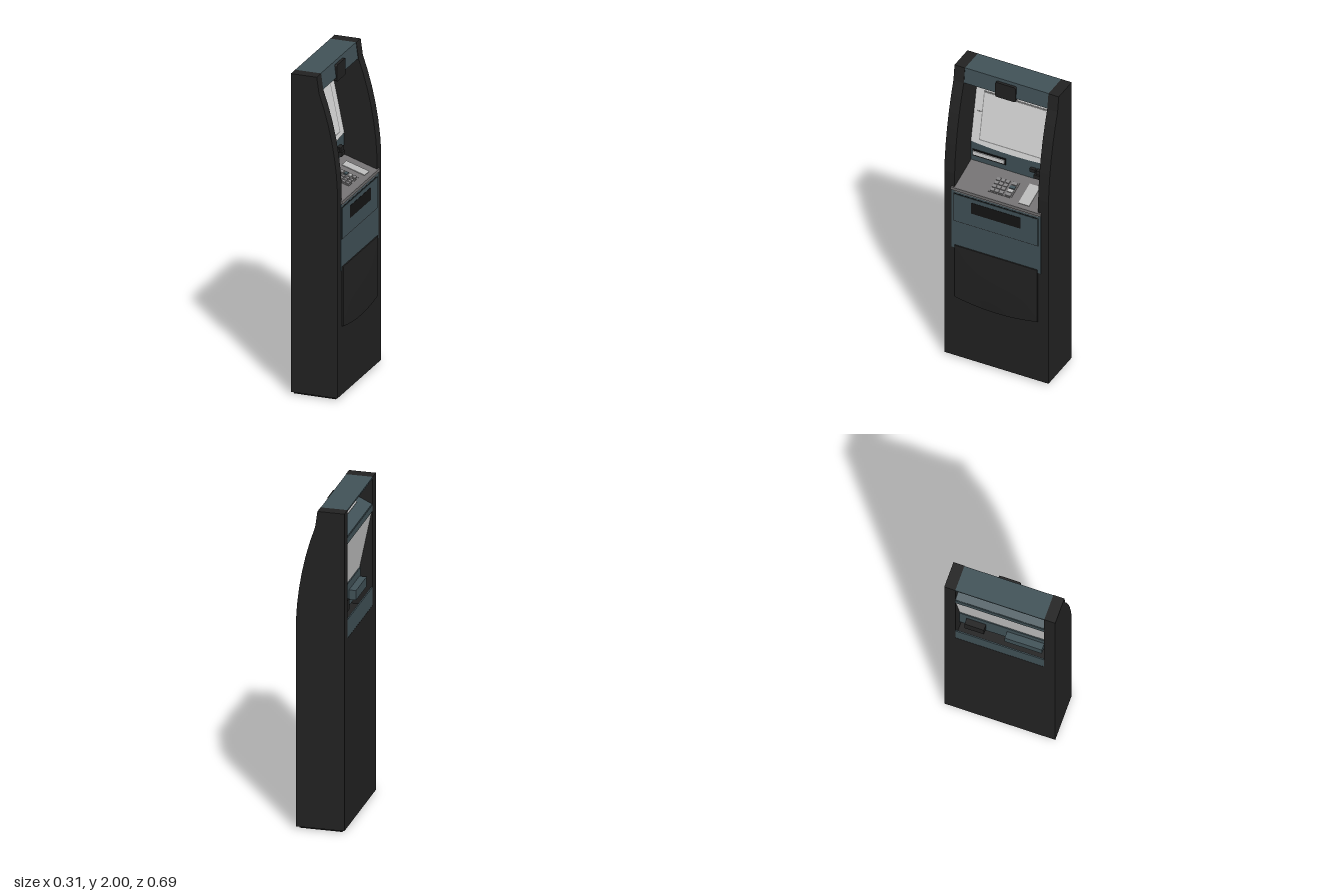
import * as THREE from 'three';

const mat = (name, color) => {
  const m = new THREE.MeshStandardMaterial({ color });
  m.name = name;
  return m;
};

export function createModel() {
  const black = mat('black casing', 0x232323);
  const darkest = mat('dark slot', 0x151515);
  const teal = mat('slate teal', 0x425359);
  const grey = mat('shelf grey', 0x747273);
  const keyGrey = mat('key grey', 0x858485);
  const white = mat('bezel white', 0xd9d9d9);
  const silver = mat('pad silver', 0xb9b9b9);
  const shade = mat('frame grey', 0x8f8f8f);

  const model = new THREE.Group();
  model.name = 'cashMachine';

  const add = (name, geo, material, parent = model) => {
    const mesh = new THREE.Mesh(geo, material);
    mesh.name = name;
    parent.add(mesh);
    return mesh;
  };
  // Box given by its limits on each axis
  const box = (name, m, x0, x1, y0, y1, z0, z1, parent) => {
    const g = new THREE.BoxGeometry(x1 - x0, y1 - y0, z1 - z0);
    g.translate((x0 + x1) / 2, (y0 + y1) / 2, (z0 + z1) / 2);
    return add(name, g, m, parent);
  };
  // Side profile (x, y) swept along z
  const prism = (name, m, pts, z0, z1, parent) => {
    const shape = new THREE.Shape(pts.map(([x, y]) => new THREE.Vector2(x, y)));
    const g = new THREE.ExtrudeGeometry(shape, { depth: z1 - z0, bevelEnabled: false });
    g.translate(0, 0, z0);
    return add(name, g, m, parent);
  };
  // Plate facing +x with a bowed bottom edge
  const bowedPlate = (halfW, y0, y1, sag, depth, bevel = 0) => {
    const s = new THREE.Shape();
    s.moveTo(-halfW, y1);
    s.lineTo(-halfW, y0);
    s.quadraticCurveTo(0, y0 - 2 * sag, halfW, y0);
    s.lineTo(halfW, y1);
    const g = new THREE.ExtrudeGeometry(s, {
      depth, curveSegments: 16, bevelEnabled: bevel > 0,
      bevelSize: bevel, bevelThickness: bevel, bevelOffset: -bevel, bevelSegments: 2,
    });
    return g.rotateY(Math.PI / 2);
  };

  // Side walls with the curved front edge
  const side = [
    [-0.155, 0.012], [0.137, 0.012], [0.137, 1.32], [0.131, 1.41], [0.119, 1.51], [0.102, 1.61],
    [0.08, 1.71], [0.052, 1.81], [0.022, 1.9], [0.008, 2], [-0.155, 2],
  ];
  prism('leftWall', black, side, 0.275, 0.343);
  prism('rightWall', black, side, -0.343, -0.275);

  // Cabinet and foot
  box('cabinet', black, -0.155, 0.137, 0.012, 1.195, -0.275, 0.275);
  box('foot', darkest, -0.14, 0.122, 0, 0.012, -0.328, 0.328);
  box('rearRail', teal, -0.154, -0.146, 1.195, 1.31, -0.275, 0.275);

  // Header shell, open at the rear
  prism('header', teal, [
    [-0.155, 2], [-0.155, 1.99], [-0.005, 1.99], [0.008, 1.905], [-0.15, 1.83],
    [-0.15, 1.82], [0.019, 1.9], [0.006, 2],
  ], -0.275, 0.275);
  box('upperTrim', teal, -0.154, -0.146, 1.785, 1.825, -0.275, 0.275);

  // Light strip through the sloping soffit
  const soffit = new THREE.Group();
  soffit.name = 'soffitLight';
  soffit.position.set(-0.066, 1.86, 0);
  soffit.rotation.z = Math.atan2(0.08, 0.169);
  model.add(soffit);
  box('lightStrip', silver, -0.012, 0.012, -0.005, 0.017, -0.19, 0.19, soffit);

  // Camera housing
  const cam = new THREE.Shape();
  const [cw, c0, c1, r] = [0.067, 1.876, 1.98, 0.012];
  cam.moveTo(-cw + r, c0);
  cam.lineTo(cw - r, c0);
  cam.quadraticCurveTo(cw, c0, cw, c0 + r);
  cam.lineTo(cw, c1 - r);
  cam.quadraticCurveTo(cw, c1, cw - r, c1);
  cam.lineTo(-cw + r, c1);
  cam.quadraticCurveTo(-cw, c1, -cw, c1 - r);
  cam.lineTo(-cw, c0 + r);
  cam.quadraticCurveTo(-cw, c0, -cw + r, c0);
  const camGeo = new THREE.ExtrudeGeometry(cam, { depth: 0.025, bevelEnabled: false });
  add('cameraHousing', camGeo.rotateY(Math.PI / 2), black).position.x = 0;

  // Tilted screen
  const screen = new THREE.Group();
  screen.name = 'screen';
  screen.position.set(-0.075, 1.425, 0);
  screen.rotation.z = Math.atan2(0.075, 0.365);
  model.add(screen);
  add('screenBezel', bowedPlate(0.275, 0, 0.374, 0.014, 0.008), white, screen);
  box('displayFrame', shade, 0.006, 0.011, 0.022, 0.343, -0.216, 0.222, screen);
  box('display', white, 0.008, 0.013, 0.03, 0.336, -0.205, 0.216, screen);
  box('bezelMark', shade, 0.006, 0.01, 0.2, 0.206, 0.228, 0.252, screen);

  // Slot fascia under the screen
  box('slotFascia', teal, -0.082, -0.07, 1.28, 1.428, -0.275, 0.275);
  box('receiptFrame', darkest, -0.072, -0.064, 1.328, 1.372, 0.046, 0.264);
  box('receiptSlot', white, -0.066, -0.058, 1.34, 1.364, 0.052, 0.258);
  box('receiptPrinter', teal, -0.125, -0.08, 1.32, 1.38, 0.02, 0.25);
  box('cardReaderBack', black, -0.12, -0.08, 1.31, 1.38, -0.23, -0.11);
  box('cardReaderTop', black, -0.072, -0.045, 1.345, 1.372, -0.215, -0.165);
  box('cardReaderBase', black, -0.072, -0.035, 1.32, 1.347, -0.205, -0.155);
  box('cardReaderSide', black, -0.072, -0.05, 1.348, 1.37, -0.155, -0.12);

  // Sloping shelf with its front lip
  prism('shelf', grey, [
    [-0.075, 1.293], [-0.075, 1.275], [0.125, 1.195], [0.14, 1.195], [0.14, 1.225],
  ], -0.275, 0.275);
  box('shelfLip', grey, 0.125, 0.148, 1.207, 1.226, -0.295, 0.295);

  // Keypad and reader pad, laid along the slope
  const deck = new THREE.Group();
  deck.name = 'shelfControls';
  deck.position.set(-0.075, 1.293, 0);
  deck.rotation.z = -Math.atan2(0.068, 0.215);
  model.add(deck);
  box('readerPad', silver, 0.05, 0.201, -0.002, 0.004, -0.205, -0.134, deck);
  box('keypadPlate', grey, 0.068, 0.184, -0.002, 0.003, -0.078, 0.073, deck);
  const functionColours = [keyGrey, teal, silver, keyGrey];
  for (let row = 0; row < 4; row++) {
    const x = 0.085 + row * 0.0275;
    for (let col = 0; col < 3; col++) {
      const z = 0.052 - col * 0.03;
      box('key', keyGrey, x - 0.01, x + 0.01, 0, 0.009, z - 0.012, z + 0.012, deck);
    }
    box('functionKey', functionColours[row], x - 0.01, x + 0.01, 0, 0.009, -0.07, -0.036, deck);
  }

  // Upper front panel with raised drawer and dispenser slot
  box('frontPanel', teal, 0.13, 0.1395, 0.79, 1.207, -0.293, 0.293);
  box('drawerOutline', darkest, 0.138, 0.1405, 0.983, 1.184, -0.28, 0.28);
  box('drawer', teal, 0.138, 0.143, 0.988, 1.179, -0.275, 0.275);
  box('dispenserSlot', darkest, 0.14, 0.1445, 1.075, 1.152, -0.162, 0.162);

  // Lower door, bulging gently at its middle
  const doorShape = bowedPlate(0.273, 0.44, 0.812, 0.03, 0.012, 0.003);
  add('doorGap', bowedPlate(0.277, 0.436, 0.816, 0.03, 0.004), darkest).position.x = 0.1345;
  add('lowerDoor', doorShape, black).position.x = 0.132;
  // Curved skin over the door front
  const nz = 12, ny = 8, pos = [], idx = [];
  for (let j = 0; j <= ny; j++) {
    for (let i = 0; i <= nz; i++) {
      const u = (i / nz) * 2 - 1, v = j / ny;
      const bottom = 0.415 + 0.025 * u * u;
      const bulge = 0.007 * (1 - u * u) * Math.sin(Math.PI * v);
      pos.push(0.1472 + bulge, bottom + (0.808 - bottom) * v, -0.268 * u);
      if (i < nz && j < ny) {
        const a = j * (nz + 1) + i, b = a + nz + 1;
        idx.push(a, a + 1, b, a + 1, b + 1, b);
      }
    }
  }
  const skin = new THREE.BufferGeometry();
  skin.setAttribute('position', new THREE.Float32BufferAttribute(pos, 3));
  skin.setIndex(idx);
  skin.computeVertexNormals();
  add('doorSkin', skin, black);

  return model;
}
